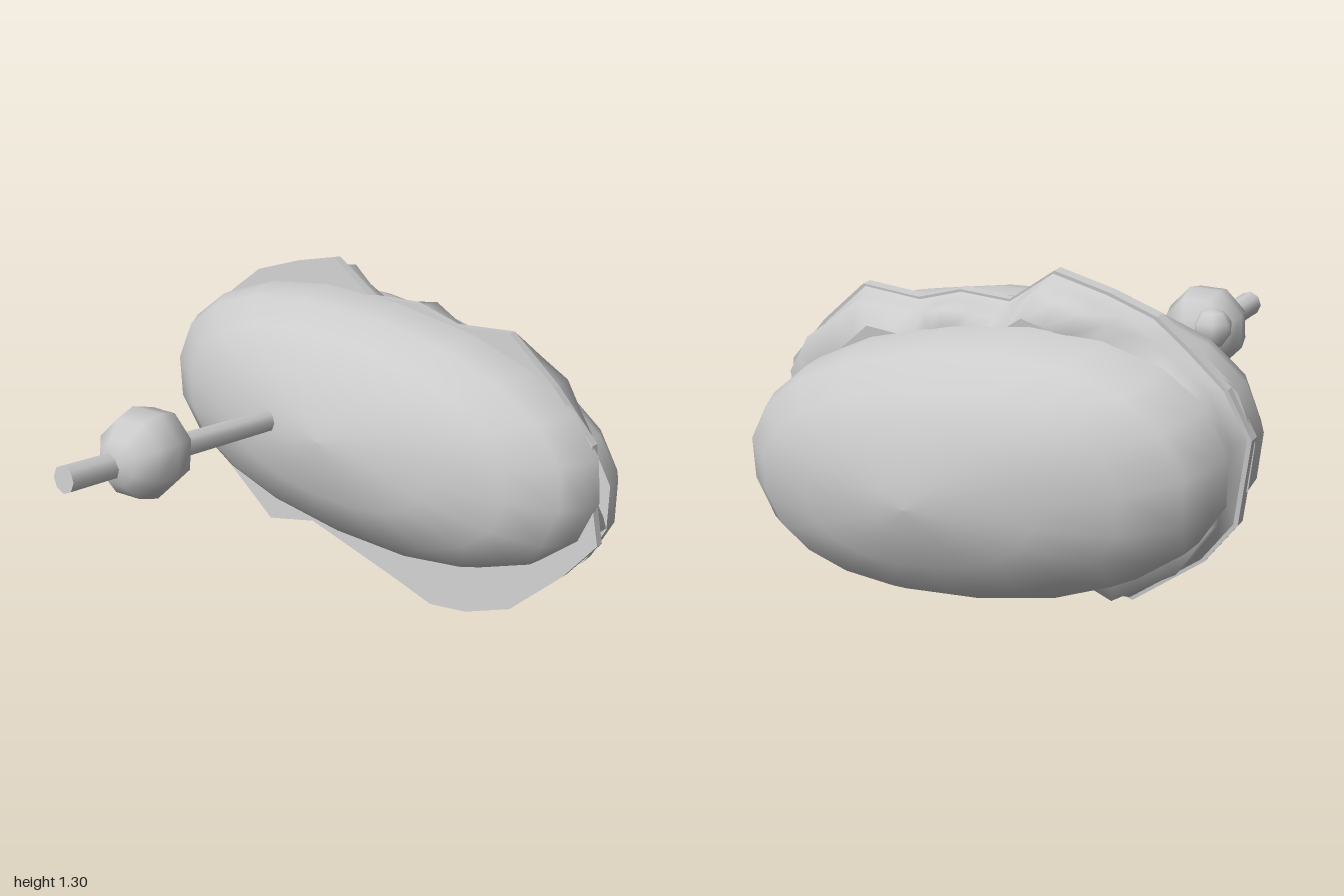
import * as THREE from 'three';

const mat = new THREE.MeshStandardMaterial({ color: 0xcccccc, side: THREE.DoubleSide });

// ragged outline of the filling, as [z, y] measured from the burger's middle
const OUTLINE = [
  [0.97, -0.21], [0.93, -0.06], [0.90, 0.16], [0.72, 0.34], [0.52, 0.50], [0.28, 0.48],
  [0.10, 0.53], [-0.10, 0.52], [-0.28, 0.64], [-0.48, 0.59], [-0.65, 0.53], [-0.76, 0.44],
  [-0.89, 0.32], [-0.97, 0.16], [-0.92, -0.15], [-0.80, -0.31], [-0.52, -0.53], [-0.30, -0.48],
  [-0.10, -0.54], [0.10, -0.60], [0.30, -0.665], [0.46, -0.645], [0.65, -0.57], [0.85, -0.37],
];

function add(parent, name, geometry) {
  const mesh = new THREE.Mesh(geometry, mat);
  mesh.name = name;
  parent.add(mesh);
  return mesh;
}

// joins rows of points (n around, closed) into a smooth surface
function loft(rows, n) {
  const idx = [];
  for (let j = 0; j < rows.length - 1; j++) {
    for (let i = 0; i < n; i++) {
      const p = j * n + i, q = j * n + (i + 1) % n;
      idx.push(p, p + n, q, q, p + n, q + n);
    }
  }
  const g = new THREE.BufferGeometry();
  g.setAttribute('position', new THREE.Float32BufferAttribute(rows.flat(2), 3));
  g.setIndex(idx);
  g.computeVertexNormals();
  return g;
}

// rounded oval sections along x, each given as [x, scale]
function oval(sections, a, b, n = 20) {
  const pw = v => Math.sign(v) * Math.abs(v) ** (2 / 2.25);
  return loft(sections.map(([x, s]) => Array.from({ length: n }, (_, i) => {
    const t = (i / n) * Math.PI * 2;
    return [x, b * s * pw(Math.sin(t)), a * s * pw(Math.cos(t))];
  })), n);
}

// domed half of the bun, with a flat cut face
function bun(parent, name, x, y, dir, a, b, roll) {
  const half = new THREE.Group();
  half.name = name;
  const dome = [[0, 1], [0.09, 0.99], [0.19, 0.935], [0.31, 0.765], [0.39, 0.48], [0.43, 0.17], [0.437, 0.001]];
  const sections = dome.map(([h, s]) => [h * dir, s]);
  // keep the winding outward on both sides
  if (dir < 0) sections.reverse();
  add(half, name + 'Dome', oval(sections, a, b));
  add(half, name + 'CutFace', oval(dir > 0 ? [[0, 0.001], [0, 1]] : [[0, 1], [0, 0.001]], a, b));
  half.position.set(x, y, -0.01);
  half.rotation.x = roll;
  parent.add(half);
}

// frilled leaf that folds from the slice's rim toward the outer bun in broad points
function lettuceGeometry() {
  const frill = [0.125, 0.095, 0.07, 0.055, 0.07, 0.095];
  const n = OUTLINE.length * 2;
  const ring = (x, s) => Array.from({ length: n }, (_, i) => {
    const [z0, y0] = OUTLINE[i >> 1], [z1, y1] = OUTLINE[((i + 1) >> 1) % OUTLINE.length];
    const f = frill[i % 6];
    return [x(f), (y0 + y1) / 2 * s(f), (z0 + z1) / 2 * s(f)];
  });
  return loft([
    ring(() => -0.02, () => 0.985),
    ring(() => 0.02, f => 0.93 + f * 0.2),
    ring(f => f, f => 0.91 + f * 0.35),
    ring(() => 0.115, () => 0.8),
  ], n);
}

export function createModel() {
  const model = new THREE.Group();
  model.name = 'skeweredBurger';

  // burger standing on its edge, leaning slightly
  const burger = new THREE.Group();
  burger.name = 'burger';
  burger.position.set(0.45, 0.665, 0);
  burger.rotation.set(0, 0.006, -0.107);
  model.add(burger);

  bun(burger, 'innerBun', -0.045, 0.045, -1, 0.965, 0.475, 0.1);
  bun(burger, 'outerBun', 0.108, -0.025, 1, 0.955, 0.475, 0.19);

  // thin ragged slice against the inner bun
  const shape = new THREE.Shape(OUTLINE.map(([z, y]) => new THREE.Vector2(z, y)));
  const slice = new THREE.ExtrudeGeometry(shape, { depth: 0.04, bevelEnabled: false });
  slice.rotateY(-Math.PI / 2).translate(-0.018, 0, 0);
  add(burger, 'slice', slice);

  add(burger, 'lettuce', lettuceGeometry());

  // cocktail stick
  const from = new THREE.Vector3(0.06, 0.77, -0.257), to = new THREE.Vector3(-0.995, 0.89, -0.325);
  const dir = to.clone().sub(from);
  const stick = add(model, 'stick', new THREE.CylinderGeometry(0.05, 0.043, dir.length(), 8));
  stick.position.copy(from).addScaledVector(dir, 0.5);
  stick.quaternion.setFromUnitVectors(new THREE.Vector3(0, 1, 0), dir.clone().normalize());

  // chunky olive on the stick, with its stuffing bulging from one side
  const olive = add(model, 'olive', new THREE.SphereGeometry(0.172, 8, 6));
  olive.position.set(-0.635, 0.865, -0.295);
  olive.rotation.set(0.39, 0, Math.PI / 2 - 0.11);
  olive.scale.set(1, 1, 0.95);
  const stuffing = add(model, 'stuffing', new THREE.SphereGeometry(0.08, 7, 5));
  stuffing.position.set(-0.52, 0.895, -0.375);

  return model;
}
